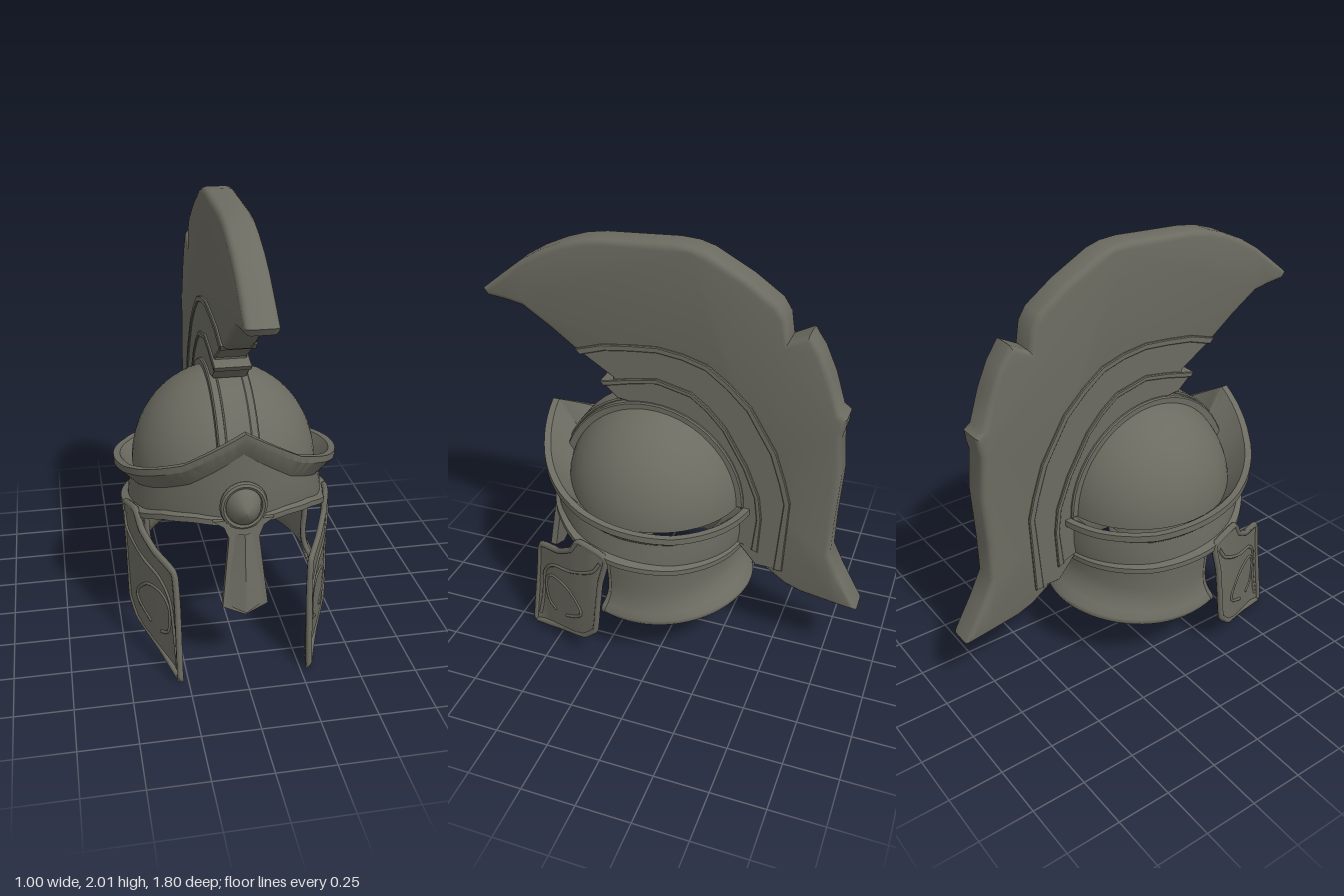
import * as THREE from 'three';
import { toCreasedNormals } from 'three/addons/utils/BufferGeometryUtils.js';
import { ParametricGeometry } from 'three/addons/geometries/ParametricGeometry.js';

const bronze = new THREE.MeshStandardMaterial({ color: 0x6c6b61, side: THREE.DoubleSide });
bronze.name = 'dark bronze';

const rad = THREE.MathUtils.degToRad;

function add(parent, name, geo, crease = 0.6) {
  const mesh = new THREE.Mesh(crease ? toCreasedNormals(geo, crease) : geo, bronze);
  mesh.name = name;
  parent.add(mesh);
  return mesh;
}

// Piecewise linear lookup in [key, value] pairs
function lookup(pts, k) {
  let i = 0;
  while (i < pts.length - 2 && k > pts[i + 1][0]) i++;
  const [a, b] = [pts[i], pts[i + 1]];
  return a[1] + (b[1] - a[1]) * THREE.MathUtils.clamp((k - a[0]) / (b[0] - a[0]), 0, 1);
}

// Point at fraction t along a list of [z, y] points
function along(pts, t) {
  const f = Math.min(t * (pts.length - 1), pts.length - 1.0001), i = Math.floor(f);
  return [0, 1].map(k => pts[i][k] + (pts[i + 1][k] - pts[i][k]) * (f - i));
}

// Shell around the head; angle 0 is the front, rows(angle) lists [radiusX, radiusZ, y]
function shell(rows, z0, from = -180, to = 180, n = 72) {
  const last = rows(0).length - 1;
  return new ParametricGeometry((u, v, out) => {
    const a = from + (to - from) * u;
    const [rx, rz, y] = rows(a)[THREE.MathUtils.clamp(Math.round(v * last), 0, last)];
    out.set(rx * Math.sin(rad(a)), y, z0 + rz * Math.cos(rad(a)));
  }, n, last);
}

// Slab drawn in the side plane as [z, y] points, centred on x = 0
function slab(pts, half, bevel = 0.006, segments = 1) {
  const shape = new THREE.Shape(pts.map(p => new THREE.Vector2(p[0], p[1])));
  const geo = new THREE.ExtrudeGeometry(shape, {
    depth: 2 * (half - bevel), bevelThickness: bevel, bevelSize: bevel,
    bevelOffset: -bevel, bevelSegments: segments,
  });
  return geo.translate(0, 0, bevel - half).rotateY(-Math.PI / 2);
}

function tube(points, radius, closed = false, tension = 0.5) {
  const path = new THREE.CatmullRomCurve3(points, closed, 'catmullrom', tension);
  return new THREE.TubeGeometry(path, points.length * 6, radius, 6, closed);
}

// Heights around the head, by angle in degrees from the front
const brimTop = [[0, 1.146], [30, 0.995], [53, 0.925], [70, 0.885], [90, 0.855], [120, 0.815], [150, 0.8], [180, 0.795]];
const brimDrop = [[0, 0.11], [90, 0.1], [180, 0.045]];
const bandLow = [[0, 0.715], [27, 0.73], [45, 0.71], [62, 0.665], [90, 0.635], [120, 0.6], [180, 0.57]];
const trimOut = [[0, 0.008], [60, 0.028], [90, 0.035], [180, 0.006]];

function addCap(g) {
  add(g, 'dome', new THREE.SphereGeometry(1, 48, 20, 0, Math.PI * 2, 0, Math.PI / 2)
    .scale(0.415, 0.44, 0.42).translate(0, 0.8, 0.095));

  // Arched band over the dome
  const arc = (rz, ry) => Array.from({ length: 25 }, (_, i) => {
    const t = Math.PI * i / 24;
    return [0.1 + rz * Math.cos(t), 0.8 + ry * Math.sin(t)];
  });
  add(g, 'domeBand', slab([...arc(0.445, 0.46), ...arc(0.39, 0.41).reverse()], 0.09));
  add(g, 'domeBandCentre', slab([...arc(0.455, 0.47), ...arc(0.4, 0.42).reverse()], 0.057));

  // Flared brim rising to a peak at the front
  add(g, 'brim', shell(a => {
    const y = lookup(brimTop, Math.abs(a)), d = lookup(brimDrop, Math.abs(a));
    return [[0.43, 0.455, y - d], [0.5, 0.5, y - 0.03], [0.5, 0.5, y], [0.47, 0.47, y], [0.36, 0.36, y - d - 0.05]];
  }, 0.12));

  // Brow band with a raised lower trim
  add(g, 'browBand', shell(a => {
    const k = Math.abs(a), top = lookup(brimTop, k) - lookup(brimDrop, k);
    const low = lookup(bandLow, k), p = lookup(trimOut, k);
    return [[0.43, 0.455, top], [0.437, 0.458, (top + low) / 2], [0.44, 0.45, low + 0.025],
      [0.44 + p, 0.45 + p, low + 0.015], [0.44 + p, 0.45 + p, low - 0.01], [0.435, 0.44, low - 0.012]];
  }, 0.12));
}

function addFace(g) {
  // Nose guard, tilted forward toward its tip
  const nose = new THREE.Group();
  nose.name = 'noseGuard';
  nose.position.set(0, 0.72, 0.565);
  nose.rotation.x = -0.13;
  const half = [[0.13, 0.02], [0.085, -0.01], [0.065, -0.06], [0.098, -0.37]];
  const outline = [...half, [0, -0.415], ...half.map(([x, y]) => [-x, y]).reverse()];
  add(nose, 'nosePlate', new THREE.ExtrudeGeometry(
    new THREE.Shape(outline.map(p => new THREE.Vector2(...p))), { depth: 0.03, bevelEnabled: false }));
  add(nose, 'noseRidge', new ParametricGeometry((u, v, out) => {
    const s = 2 * u - 1, mid = 1 - Math.abs(s);
    out.set(s * (0.036 + 0.046 * v), -0.04 - 0.32 * v - 0.04 * mid * v, 0.03 + 0.02 * mid);
  }, 2, 4), 0.2);
  g.add(nose);

  // Pointed boss in a ring on the brow
  add(g, 'bossRing', new THREE.TorusGeometry(0.088, 0.014, 8, 32).scale(1, 1.08, 1.4).translate(0, 0.805, 0.582));
  add(g, 'bossBase', new THREE.CylinderGeometry(0.088, 0.088, 0.03, 32).rotateX(Math.PI / 2).translate(0, 0.805, 0.57));
  add(g, 'boss', new THREE.LatheGeometry([[0.076, 0], [0.068, 0.025], [0.035, 0.06], [0, 0.078]]
    .map(p => new THREE.Vector2(...p)), 24).rotateX(Math.PI / 2).scale(1, 1.15, 1).translate(0, 0.805, 0.584));
}

// Cheek plates curve inward toward the front
const cheekCurve = [[0.15, 0.462], [0.25, 0.45], [0.35, 0.415], [0.5, 0.34], [0.6, 0.287], [0.67, 0.285]];
const onCheek = ([z, y], lift = 0) =>
  new THREE.Vector3(lookup(cheekCurve, z) + 0.9 * lift, y, z + 0.42 * lift);

function makeCheek(side) {
  const cheek = new THREE.Group();
  cheek.name = side > 0 ? 'leftCheekGuard' : 'rightCheekGuard';
  const front = [[0.32, 0.685], [0.37, 0.61], [0.46, 0.55], [0.585, 0.51], [0.61, 0.35], [0.635, 0.17], [0.655, 0.015]];
  const back = [[0.175, 0.65], [0.21, 0.5], [0.23, 0.35], [0.25, 0.2], [0.32, 0.125], [0.48, 0.065], [0.645, 0.012]];
  // Outer and inner face in one loop
  add(cheek, 'cheekPlate', new ParametricGeometry((u, v, out) => {
    const s = u <= 0.5 ? 2 * u : 2 - 2 * u;
    const f = along(front, v), b = along(back, v);
    out.copy(onCheek([f[0] + (b[0] - f[0]) * s, f[1] + (b[1] - f[1]) * s], u <= 0.5 ? 0.009 : -0.009));
  }, 20, 24));
  add(cheek, 'cheekBorder', tube([...front, ...back.slice().reverse()].map(p => onCheek(p, 0.002)), 0.015, true, 0.2), 0);
  const scroll = [[0.2, 0.62], [0.25, 0.55], [0.38, 0.48], [0.5, 0.44], [0.565, 0.36], [0.59, 0.2], [0.62, 0.07]];
  add(cheek, 'cheekScroll', tube(scroll.map(p => onCheek(p, 0.008)), 0.009), 0);
  const hook = [[0.5, 0.165], [0.55, 0.2], [0.56, 0.31], [0.51, 0.37], [0.41, 0.36], [0.335, 0.29], [0.34, 0.235], [0.43, 0.175]];
  add(cheek, 'cheekHook', tube(hook.map(p => onCheek(p, 0.008)), 0.008), 0);
  cheek.scale.x = side;
  return cheek;
}

function addNeck(g) {
  // Neck guard open at the front, flared at the bottom
  const rows = a => {
    const s = Math.sin(rad(a)) ** 2;
    return [[0.4, 0.385, 0.68], [0.395, 0.375, 0.55], [0.39, 0.37, 0.47], [0.395, 0.385, 0.41], [0.41, 0.42, 0.365],
      [0.425, 0.455, 0.337], [0.425, 0.462, 0.322], [0.415, 0.455, 0.308], [0.395, 0.42, 0.315], [0.375, 0.365, 0.38],
      [0.37, 0.35, 0.47], [0.38, 0.36, 0.68]].map(([x, z, y]) => [x, z, y - 0.04 * s]);
  };
  add(g, 'neckGuard', shell(rows, 0.09, 73, 287, 40), 0.9);
  for (const a of [73, 287]) {
    const edge = rows(a).slice(0, 8).map(([rx, rz, y]) =>
      new THREE.Vector3((rx - 0.01) * Math.sin(rad(a)), y + 0.006, 0.09 + rz * Math.cos(rad(a))));
    add(g, 'neckGuardEdge', tube(edge, 0.014), 0);
  }
}

function addCrest(g) {
  // Plume with a notch and a small jog down the back
  add(g, 'plume', slab([
    [0.46, 1.45], [0.58, 1.54], [0.71, 1.625], [0.79, 1.64], [0.88, 1.65], [0.9, 1.68], [0.8, 1.76], [0.71, 1.83],
    [0.62, 1.885], [0.51, 1.935], [0.42, 1.965], [0.33, 1.98], [0.16, 1.99], [0, 2], [-0.08, 1.995], [-0.15, 1.975],
    [-0.32, 1.885], [-0.45, 1.795], [-0.485, 1.74], [-0.5, 1.645], [-0.585, 1.69], [-0.64, 1.61], [-0.69, 1.5],
    [-0.737, 1.353], [-0.768, 1.33], [-0.763, 1.28], [-0.752, 1.235], [-0.768, 1.05], [-0.755, 0.8], [-0.752, 0.62],
    [-0.81, 0.5], [-0.9, 0.335], [-0.79, 0.345], [-0.63, 0.37], [-0.55, 0.4], [-0.43, 0.485], [-0.46, 0.8],
    [-0.4, 1.05], [-0.28, 1.25], [-0.12, 1.39], [0.07, 1.44], [0.25, 1.42]], 0.067, 0.025, 3), 0.7);

  // Two nested holder steps, each with a raised rim
  const outer = [[0.456, 1.464], [0.33, 1.505], [0.2, 1.523], [0.07, 1.535], [-0.05, 1.52], [-0.16, 1.488], [-0.26, 1.415],
    [-0.36, 1.32], [-0.48, 1.12], [-0.53, 0.97], [-0.557, 0.865], [-0.54, 0.48]];
  const inner = [[0.34, 1.326], [0.2, 1.36], [0.07, 1.382], [-0.09, 1.345], [-0.17, 1.285], [-0.25, 1.2], [-0.355, 1.02],
    [-0.415, 0.87], [-0.43, 0.75], [-0.42, 0.56]];
  const base = [[-0.33, 0.8], [-0.28, 1], [-0.12, 1.17], [0.1, 1.23], [0.26, 1.25]];
  const shrink = pts => pts.map(([z, y]) => [0.02 + (z - 0.02) * 0.95, 0.6 + (y - 0.6) * 0.97]).reverse();
  add(g, 'outerHolder', slab([...outer, [-0.41, 0.48], [-0.31, 0.6], ...base, [0.28, 1.35]], 0.071));
  add(g, 'outerHolderRim', slab([...outer, [-0.5, 0.48], ...shrink(outer.slice(0, -1))], 0.078, 0.004));
  add(g, 'innerHolder', slab([...inner, [-0.31, 0.6], ...base], 0.076));
  add(g, 'innerHolderRim', slab([...inner, [-0.39, 0.57], ...shrink(inner.slice(0, -1))], 0.082, 0.004));
}

export function createModel() {
  const helmet = new THREE.Group();
  helmet.name = 'crestedHelmet';
  addCap(helmet);
  addFace(helmet);
  helmet.add(makeCheek(1), makeCheek(-1));
  addNeck(helmet);
  addCrest(helmet);
  return helmet;
}
